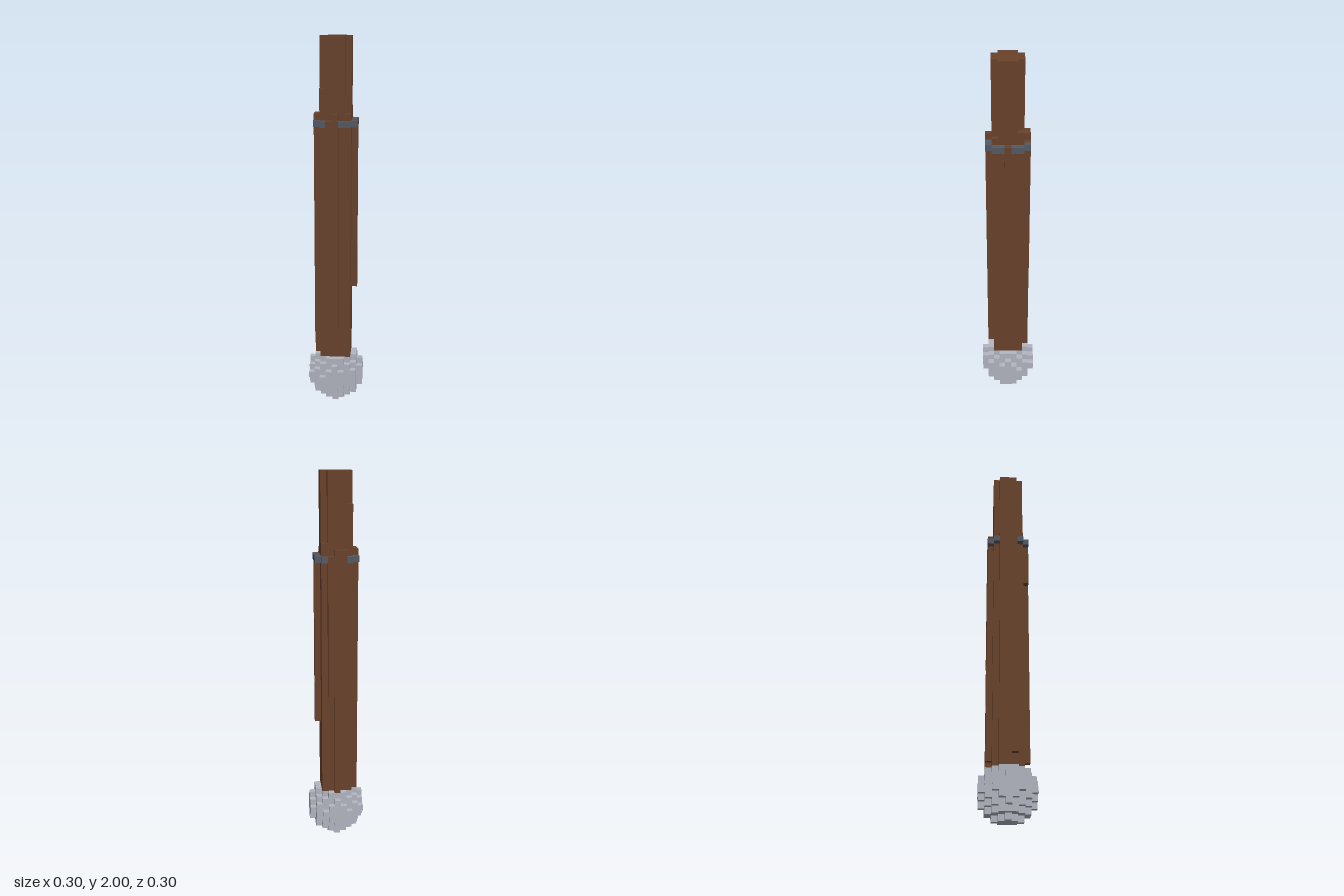
import * as THREE from 'three';
import { mergeGeometries } from 'three/addons/utils/BufferGeometryUtils.js';

const U = 2 / 61; // edge of one cube

export function createModel() {
  const group = new THREE.Group();
  const cells = new Map(); // "x,y,z" -> part name

  const fill = (part, x0, x1, y0, y1, z0, z1) => {
    for (let x = x0; x <= x1; x++)
      for (let y = y0; y < y1; y++)
        for (let z = z0; z <= z1; z++) cells.set(`${x},${y},${z}`, part);
  };
  const column = (part, x, z, y0, y1) => fill(part, x, x, y0, y1, z, z);

  // Pommel: a blocky ball, cut flat where the shaft begins
  const chips = new Set(['2,0,4', '4,0,2', '2,-4,0']);
  for (let x = -4; x <= 4; x++)
    for (let y = -4; y <= 3; y++)
      for (let z = -4; z <= 4; z++)
        if (x * x + y * y + z * z <= 20 && !chips.has(`${x},${y},${z}`))
          column('pommel', x, z, y + 4, y + 5);

  // Shaft core: a plus-shaped section to the top, corners ending at different heights
  fill('shaft', -2, 2, 8, 61, -1, 1);
  fill('shaft', -1, 1, 8, 61, -2, 2);
  const corners = [[-2, 2, 53], [2, 2, 49], [2, -2, 50], [-2, -2, 56]];
  for (const [x, z, top] of corners) column('shaft', x, z, 8, top);

  // Raised strips along the four sides: x, z, bottom, top
  const strips = [
    [0, 3, 9, 49], [-1, 3, 40, 48],
    [3, 0, 20, 48],
    [-1, -3, 9, 49], [0, -3, 8, 49], [1, -3, 25, 48],
    [-3, -1, 8, 49], [-3, 0, 8, 49], [-3, 1, 10, 49],
  ];
  for (const [x, z, y0, y1] of strips) column('shaft', x, z, y0, y1);

  // Collar: one layer of cubes between the strips
  for (const a of [-2, 2])
    for (const b of [-3, 3]) {
      column('collar', a, b, 47, 48);
      column('collar', b, a, 47, 48);
    }
  for (const [x, z] of [[1, 3], [3, 1], [3, -1]]) column('collar', x, z, 47, 48);

  // Outer faces only: one square per exposed cube side
  const sides = [
    [1, 0, 0], [-1, 0, 0], [0, 1, 0], [0, -1, 0], [0, 0, 1], [0, 0, -1],
  ].map(([x, y, z]) => {
    const square = new THREE.PlaneGeometry(U, U);
    if (x) square.rotateY((x * Math.PI) / 2);
    if (y) square.rotateX((-y * Math.PI) / 2);
    if (z < 0) square.rotateY(Math.PI);
    square.translate((x * U) / 2, (y * U) / 2, (z * U) / 2);
    return { x, y, z, square };
  });
  const faces = { pommel: [], shaft: [], collar: [] };
  for (const [key, part] of cells) {
    const [x, y, z] = key.split(',').map(Number);
    for (const s of sides)
      if (!cells.has(`${x + s.x},${y + s.y},${z + s.z}`))
        faces[part].push(s.square.clone().translate(x * U, (y + 0.5) * U, z * U));
  }

  const colours = {
    pommel: ['paleStone', 0xb3b6c1],
    shaft: ['brownWood', 0x69432c],
    collar: ['darkMetal', 0x545a65],
  };
  for (const part of Object.keys(faces)) {
    const [name, color] = colours[part];
    const material = new THREE.MeshStandardMaterial({ color });
    material.name = name;
    const mesh = new THREE.Mesh(mergeGeometries(faces[part]), material);
    mesh.name = part;
    group.add(mesh);
  }
  return group;
}
